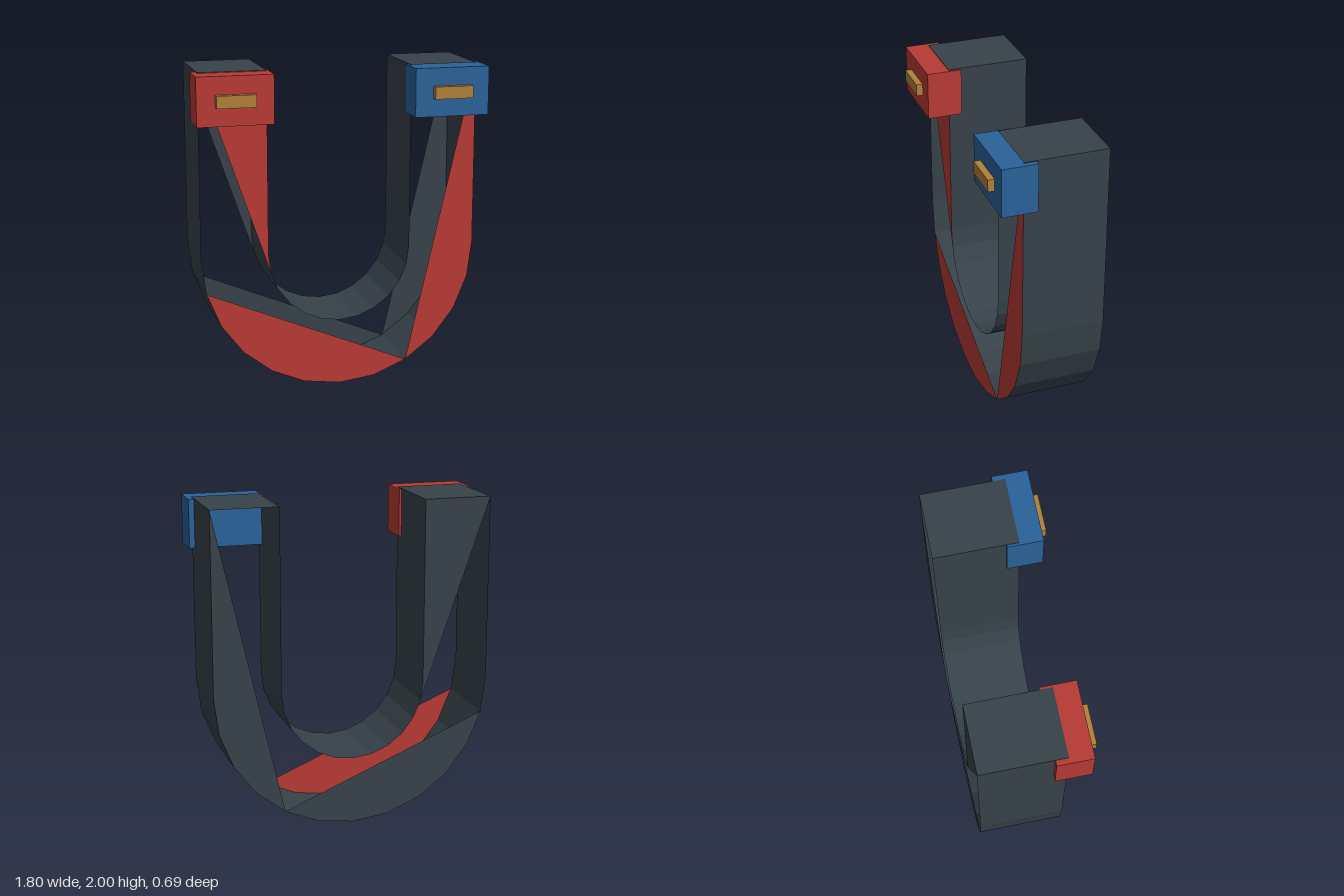
import * as THREE from 'three';

const OUTER = 0.866, INNER = 0.45, TOP = 2, FRONT = 0.165, BACK = -0.345, STEPS = 12;

function makeMaterial(name, color, extra = {}) {
  const m = new THREE.MeshStandardMaterial({ color, flatShading: true, ...extra });
  m.name = name;
  return m;
}

// Half circle from the -x side, under the centre, to the +x side
function arc(radius) {
  return Array.from({ length: STEPS + 1 }, (_, i) => {
    const a = Math.PI + (Math.PI * i) / STEPS;
    return [radius * Math.cos(a), OUTER + radius * Math.sin(a)];
  });
}

// Faceted wall swept front to back along a closed outline
function wallGeometry(outline) {
  const pos = [];
  outline.forEach(([ax, ay], i) => {
    const [bx, by] = outline[(i + 1) % outline.length];
    pos.push(ax, ay, BACK, bx, by, BACK, bx, by, FRONT);
    pos.push(ax, ay, BACK, bx, by, FRONT, ax, ay, FRONT);
  });
  const g = new THREE.BufferGeometry();
  g.setAttribute('position', new THREE.Float32BufferAttribute(pos, 3));
  g.computeVertexNormals();
  return g;
}

function plateGeometry(points) {
  return new THREE.ShapeGeometry(new THREE.Shape(points.map(([x, y]) => new THREE.Vector2(x, y))));
}

export function createModel() {
  const model = new THREE.Group();
  model.name = 'horseshoeMagnet';

  const charcoal = makeMaterial('charcoal', 0x364249, { side: THREE.DoubleSide });
  const redSheet = makeMaterial('red', 0xb83a35, { side: THREE.DoubleSide });
  const blue = makeMaterial('blue', 0x2a629a);
  const brass = makeMaterial('brass', 0xb08038);

  const add = (name, geometry, material, parent = model) => {
    const mesh = new THREE.Mesh(geometry, material);
    mesh.name = name;
    parent.add(mesh);
    return mesh;
  };

  // U-shaped body wall, including the two leg ends
  const outer = arc(OUTER), inner = arc(INNER);
  const outline = [
    [-OUTER, TOP], ...outer, [OUTER, TOP],
    [INNER, TOP], ...inner.slice().reverse(), [-INNER, TOP],
  ];
  add('bodyWall', wallGeometry(outline), charcoal);

  // Partial plates on the front and back faces
  const plates = {
    BottomPlate: outer.slice(1, 9),
    LeftLegPlate: [...outer.slice(8), [OUTER, TOP]],
    RightLegPlate: [[-OUTER, TOP], inner[1], inner[0], [-INNER, TOP]],
  };
  for (const [name, points] of Object.entries(plates)) {
    add('front' + name, plateGeometry(points), redSheet).position.z = FRONT;
    const back = plateGeometry(points.map(([x, y]) => [-x, y]).reverse());
    back.rotateY(Math.PI);
    add('back' + name, back, charcoal).position.z = BACK;
  }

  // Coloured pole blocks, each with a brass bar
  for (const [name, side, material] of [['rightPole', -1, redSheet], ['leftPole', 1, blue]]) {
    const pole = new THREE.Group();
    pole.name = name;
    pole.position.x = side * 0.667;
    model.add(pole);
    add(name + 'Block', new THREE.BoxGeometry(0.464, 0.297, 0.216), material, pole)
      .position.set(0, 1.847, 0.197);
    add(name + 'Bar', new THREE.BoxGeometry(0.24, 0.075, 0.06), brass, pole)
      .position.set(0, 1.848, 0.315);
  }
  return model;
}
